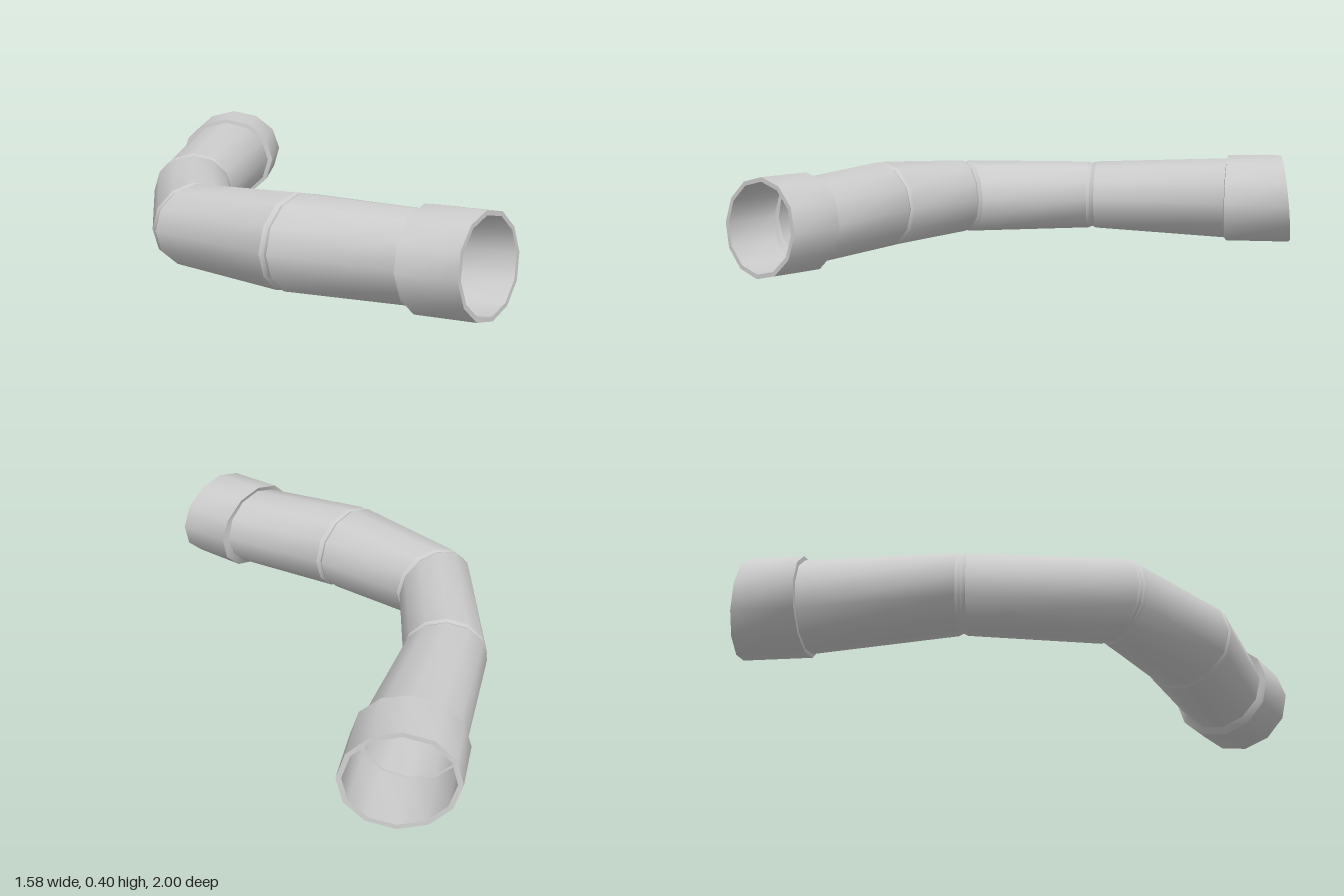
import * as THREE from 'three';

const SIDES = 12;
const material = new THREE.MeshStandardMaterial({ color: 0xcccccc });

// A ring spans from its outer-bend point to its inner-bend point (x, z) and from y0 to y1;
// tx, tz lean the top of the ring.
function ring(ox, oz, ix, iz, y0, y1, tx = 0, tz = 0) {
  return {
    c: new THREE.Vector3((ox + ix) / 2, (y0 + y1) / 2, (oz + iz) / 2),
    u: new THREE.Vector3((ix - ox) / 2, 0, (iz - oz) / 2),
    v: new THREE.Vector3(tx, (y1 - y0) / 2, tz),
  };
}

const scaled = (r, s) => ({ c: r.c, u: r.u.clone().multiplyScalar(s), v: r.v.clone().multiplyScalar(s) });

const between = (a, b, t) => ({
  c: a.c.clone().lerp(b.c, t),
  u: a.u.clone().lerp(b.u, t),
  v: a.v.clone().lerp(b.v, t),
});

// Smooth band joining two rings, facing outward when they follow the path
function band(name, a, b) {
  const positions = [], index = [];
  for (const r of [a, b]) {
    for (let i = 0; i < SIDES; i++) {
      const t = (i / SIDES) * Math.PI * 2;
      const p = r.c.clone().addScaledVector(r.u, Math.cos(t)).addScaledVector(r.v, Math.sin(t));
      positions.push(p.x, p.y, p.z);
    }
  }
  for (let i = 0; i < SIDES; i++) {
    const j = (i + 1) % SIDES;
    index.push(i, j, i + SIDES, j, j + SIDES, i + SIDES);
  }
  const g = new THREE.BufferGeometry();
  g.setAttribute('position', new THREE.Float32BufferAttribute(positions, 3));
  g.setIndex(index);
  g.computeVertexNormals();
  const mesh = new THREE.Mesh(g, material);
  mesh.name = name;
  return mesh;
}

export function createModel() {
  const model = new THREE.Group();
  model.name = 'bentPipe';

  // Pipe cross-sections from the back end to the front end
  const pipe = [
    ring(-0.757, -0.7, -0.38, -0.735, 0.04, 0.38),
    ring(-0.728, -0.1, -0.41, -0.155, 0.055, 0.347),
    ring(-0.545, 0.53, -0.29, 0.3, 0.035, 0.35),
    ring(-0.075, 0.805, 0.1, 0.445, 0.022, 0.38),
    ring(0.395, 0.897, 0.555, 0.56, 0.025, 0.362),
  ];
  const last = pipe.length - 1;

  // Collar cross-sections: rim and shoulder at each end
  const backRim = ring(-0.79, -0.92, -0.38, -1.0, 0.033, 0.398, 0, 0.02);
  const backShoulder = ring(-0.775, -0.7, -0.36, -0.74, 0.028, 0.395);
  const frontShoulder = ring(0.388, 0.925, 0.575, 0.535, 0, 0.382, -0.015, -0.007);
  const frontRim = ring(0.6, 1.0, 0.787, 0.607, 0.008, 0.385, -0.015, -0.007);

  // Outer pipe segments, with a shallow groove at every joint
  for (let i = 0; i < last; i++) {
    const start = i > 0 ? between(pipe[i], pipe[i + 1], 0.03) : pipe[i];
    const end = i + 1 < last ? between(pipe[i + 1], pipe[i], 0.03) : pipe[i + 1];
    model.add(band('pipeSegment', start, end));
    if (i + 1 < last) {
      const groove = scaled(pipe[i + 1], 0.955);
      model.add(band('jointGroove', end, groove));
      model.add(band('jointGroove', groove, between(pipe[i + 1], pipe[i + 2], 0.03)));
    }
    // Inner wall runs the other way so that it faces inward
    model.add(band('pipeLining', scaled(pipe[i + 1], 0.93), scaled(pipe[i], 0.93)));
  }

  // Back collar
  const inner = 0.91;
  const back = new THREE.Group();
  back.name = 'backCollar';
  back.add(
    band('collarLiningStep', scaled(pipe[0], 0.93), scaled(backShoulder, inner)),
    band('collarLining', scaled(backShoulder, inner), scaled(backRim, inner)),
    band('collarRim', scaled(backRim, inner), backRim),
    band('collarWall', backRim, backShoulder),
    band('collarShoulder', backShoulder, pipe[0]),
  );

  // Front collar
  const front = new THREE.Group();
  front.name = 'frontCollar';
  front.add(
    band('collarShoulder', pipe[last], frontShoulder),
    band('collarWall', frontShoulder, frontRim),
    band('collarRim', frontRim, scaled(frontRim, inner)),
    band('collarLining', scaled(frontRim, inner), scaled(frontShoulder, inner)),
    band('collarLiningStep', scaled(frontShoulder, inner), scaled(pipe[last], 0.93)),
  );
  model.add(back, front);
  return model;
}
